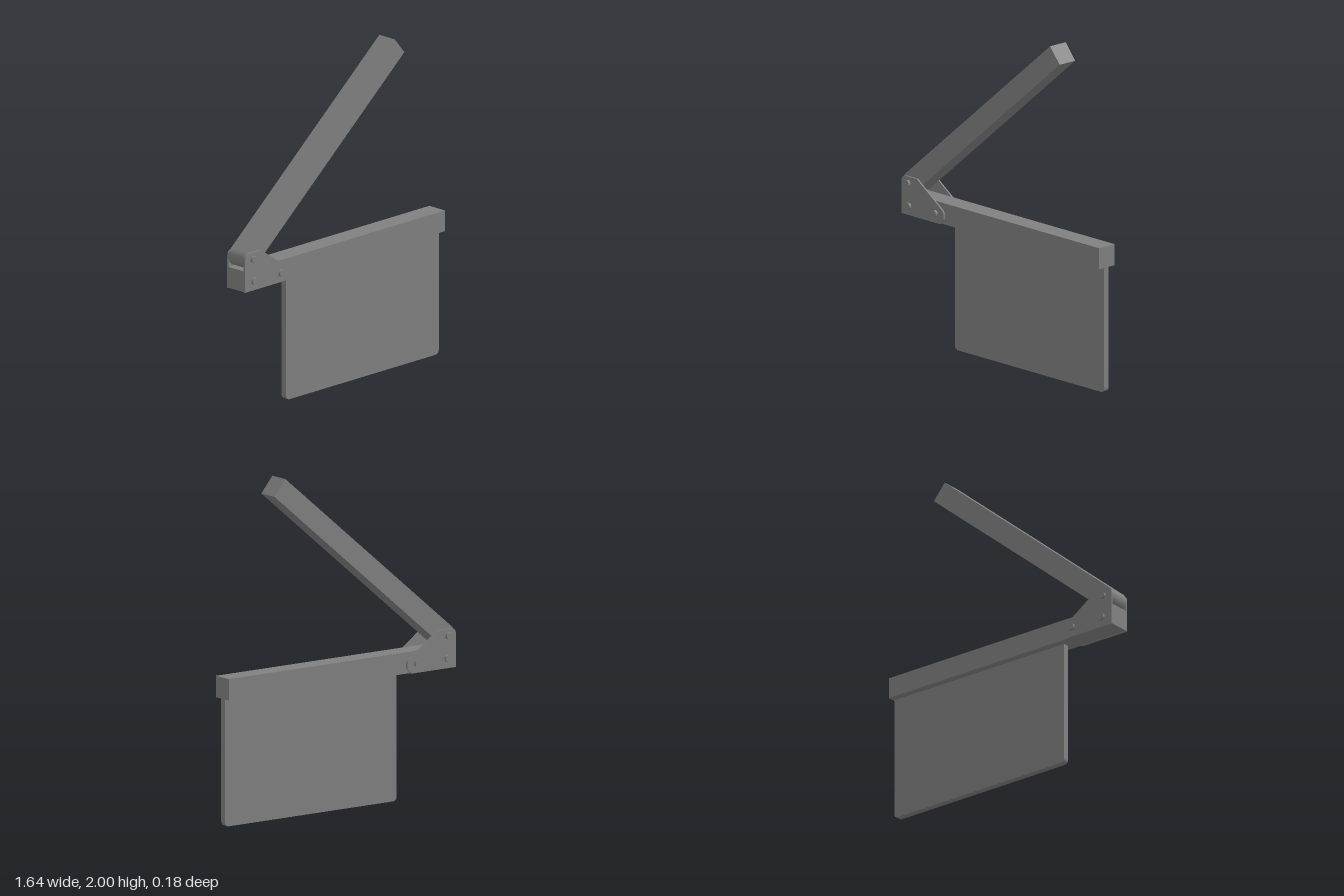
import * as THREE from 'three';

const grey = new THREE.MeshStandardMaterial({ color: 0x808080 });
grey.name = 'grey';

function add(parent, name, geometry, x = 0, y = 0, z = 0) {
  const mesh = new THREE.Mesh(geometry, grey);
  mesh.name = name;
  mesh.position.set(x, y, z);
  parent.add(mesh);
  return mesh;
}

// Extrude a flat outline, centred on z = 0
function slab(shape, depth) {
  const geometry = new THREE.ExtrudeGeometry(shape, { depth, bevelEnabled: false, curveSegments: 12 });
  return geometry.translate(0, 0, -depth / 2);
}

export function createModel() {
  const group = new THREE.Group();
  group.name = 'clapperboard';

  // Slate with rounded lower corners
  const x0 = -0.43, x1 = 0.815, r = 0.03;
  const slate = new THREE.Shape();
  slate.moveTo(x0, 0.75);
  slate.lineTo(x0, r);
  slate.quadraticCurveTo(x0, 0, x0 + r, 0);
  slate.lineTo(x1 - r, 0);
  slate.quadraticCurveTo(x1, 0, x1, r);
  slate.lineTo(x1, 0.75);
  add(group, 'slate', slab(slate, 0.037));

  // Fixed lower stick
  add(group, 'lowerStick', new THREE.BoxGeometry(1.64, 0.126, 0.124), 0, 0.812, 0);

  // Raised upper stick, rounded around its pivot
  const h = 0.062, length = 1.578;
  const stick = new THREE.Shape();
  stick.moveTo(0, -h);
  stick.lineTo(length, -h);
  stick.lineTo(length, h);
  stick.lineTo(0, h);
  stick.absarc(0, 0, h, Math.PI / 2, Math.PI * 1.5, false);
  const upper = add(group, 'upperStick', slab(stick, 0.124), -0.758, 0.938, 0);
  upper.rotation.z = THREE.MathUtils.degToRad(40);

  // Hinge plates and screws on both faces
  const plate = new THREE.Shape();
  plate.moveTo(-0.82, 0.747);
  plate.lineTo(-0.495, 0.747);
  plate.lineTo(-0.466, 0.78);
  plate.lineTo(-0.466, 0.815);
  plate.lineTo(-0.475, 0.829);
  plate.lineTo(-0.69, 0.977);
  plate.lineTo(-0.781, 0.977);
  plate.quadraticCurveTo(-0.82, 0.977, -0.82, 0.938);
  const plateGeometry = slab(plate, 0.01);
  const headGeometry = new THREE.CylinderGeometry(0.02, 0.02, 0.015, 20).rotateX(Math.PI / 2);
  const neckGeometry = new THREE.CylinderGeometry(0.012, 0.012, 0.03, 16).rotateX(Math.PI / 2);
  const screws = [[-0.759, 0.938], [-0.752, 0.805], [-0.532, 0.805]];
  for (const side of [1, -1]) {
    add(group, 'hingePlate', plateGeometry, 0, 0, side * 0.067);
    for (const [x, y] of screws) {
      add(group, 'screwNeck', neckGeometry, x, y, side * 0.067);
      add(group, 'screwHead', headGeometry, x, y, side * 0.083);
    }
  }
  return group;
}
